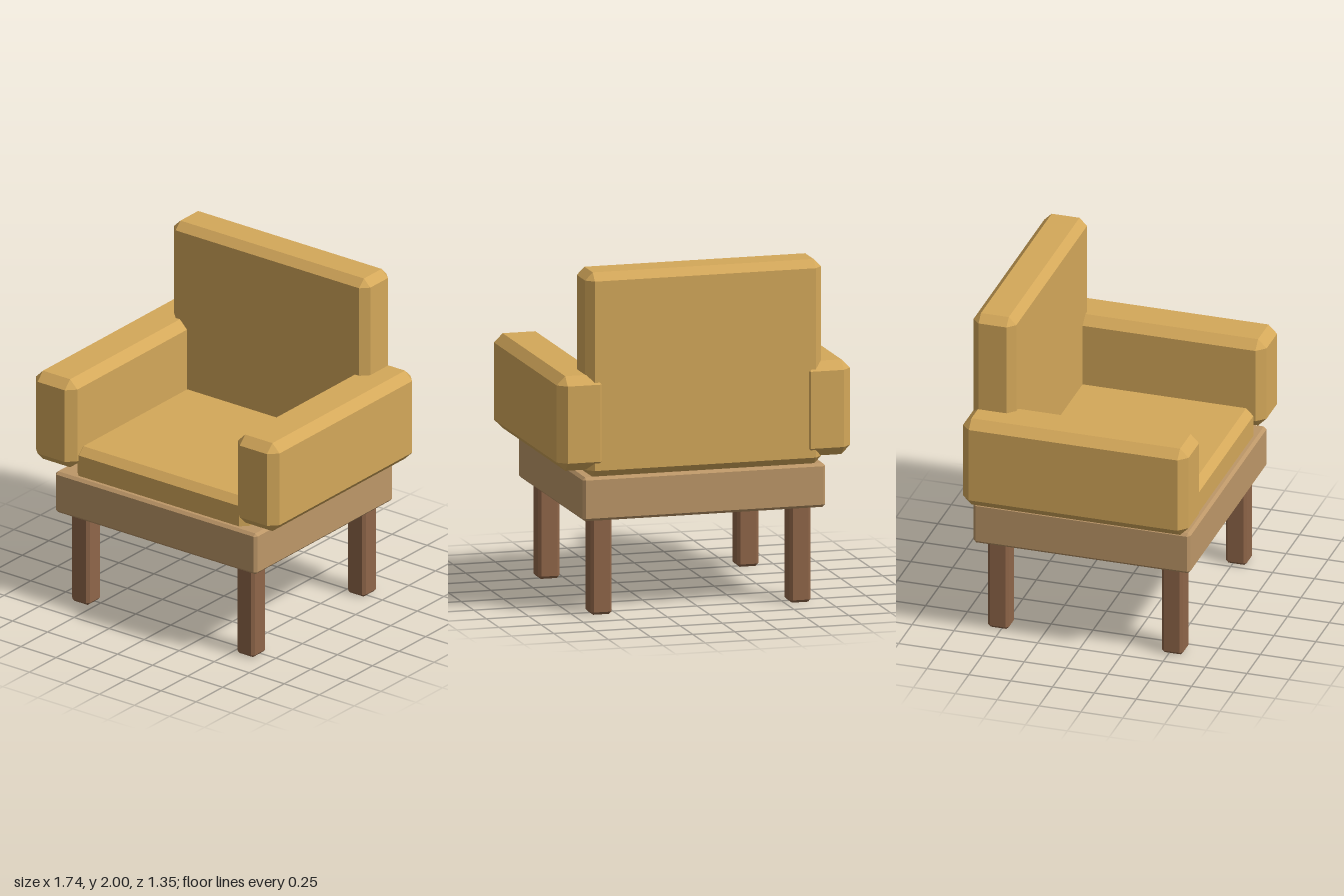
import * as THREE from 'three';
import { ConvexGeometry } from 'three/addons/geometries/ConvexGeometry.js';

const material = (name, color) => {
  const m = new THREE.MeshStandardMaterial({ color });
  m.name = name;
  return m;
};

// Box with all edges cut at 45 degrees: three inset corner points per corner
function bevelledBox(w, h, d, c) {
  const points = [];
  for (const x of [-w / 2, w / 2]) for (const y of [-h / 2, h / 2]) for (const z of [-d / 2, d / 2]) {
    const ix = x - Math.sign(x) * c, iy = y - Math.sign(y) * c, iz = z - Math.sign(z) * c;
    points.push(
      new THREE.Vector3(x, iy, iz),
      new THREE.Vector3(ix, y, iz),
      new THREE.Vector3(ix, iy, z)
    );
  }
  return new ConvexGeometry(points);
}

export function createModel() {
  const chair = new THREE.Group();
  chair.name = 'armchair';
  const fabric = material('mustard fabric', 0xd4a85a);
  const frameWood = material('light wood', 0xbd9768);
  const legWood = material('dark wood', 0x8f6649);

  // Each part is given by its low and high corners
  function part(name, mat, [x0, y0, z0], [x1, y1, z1], bevel) {
    const mesh = new THREE.Mesh(bevelledBox(x1 - x0, y1 - y0, z1 - z0, bevel), mat);
    mesh.position.set((x0 + x1) / 2, (y0 + y1) / 2, (z0 + z1) / 2);
    mesh.name = name;
    chair.add(mesh);
  }

  part('seatFrame', frameWood, [-0.72, 0.56, -0.648], [0.72, 0.815, 0.648], 0.016);
  part('seatCushion', fabric, [-0.615, 0.74, -0.6], [0.615, 0.985, 0.612], 0.043);
  part('backrest', fabric, [-0.7, 0.81, -0.664], [0.7, 2, -0.408], 0.045);

  // Armrests and legs, mirrored left and right
  for (const side of [1, -1]) {
    const label = side > 0 ? 'left' : 'right';
    const ax = side * 0.722, lx = side * 0.59;
    part(label + 'Armrest', fabric, [ax - 0.148, 0.858, -0.674], [ax + 0.148, 1.408, 0.674], 0.051);
    for (const end of [1, -1]) {
      const lz = end * 0.52;
      part(label + (end > 0 ? 'FrontLeg' : 'BackLeg'), legWood,
        [lx - 0.063, 0, lz - 0.063], [lx + 0.063, 0.6, lz + 0.063], 0.016);
    }
  }
  return chair;
}
